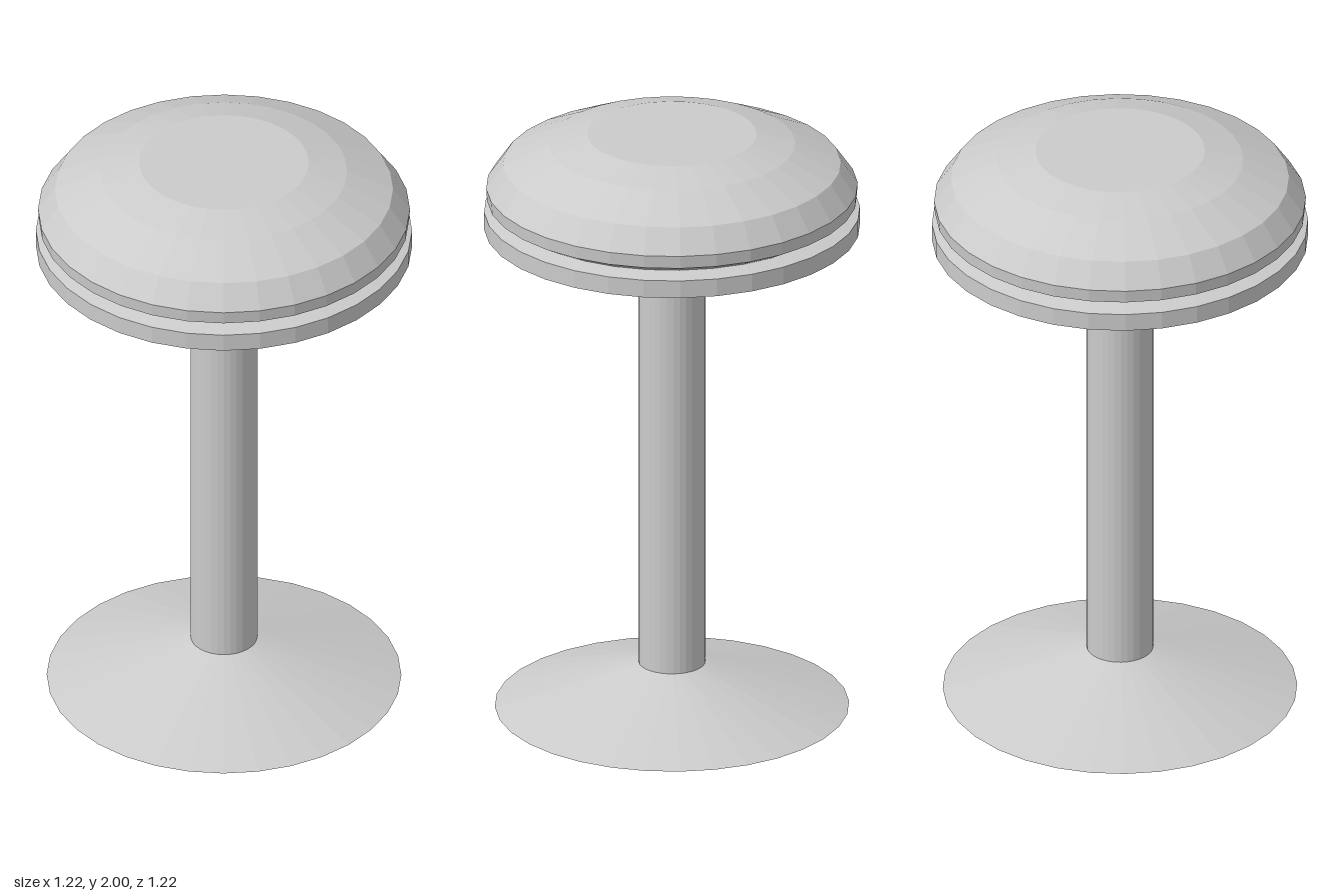
import * as THREE from 'three';

const SIDES = 32;

export function createModel() {
  const stool = new THREE.Group();
  stool.name = 'stool';
  const material = new THREE.MeshStandardMaterial({
    color: 0xcccccc, flatShading: true, side: THREE.DoubleSide,
  });

  // Turned part from [radius, height] pairs, listed bottom to top
  function turned(name, profile) {
    const points = profile.map(([r, y]) => new THREE.Vector2(r, y));
    const mesh = new THREE.Mesh(new THREE.LatheGeometry(points, SIDES), material);
    mesh.name = name;
    stool.add(mesh);
  }

  // Hollow conical foot, open underneath
  turned('base', [[0.575, 0], [0.108, 0.15]]);

  // Open tube
  turned('post', [[0.108, 0.15], [0.108, 1.675]]);

  // Flat rim under the cushion, sloping in to the groove
  turned('seatRim', [[0, 1.675], [0.61, 1.675], [0.61, 1.735], [0.55, 1.748]]);

  // Domed cushion with a flat top
  turned('cushion', [
    [0.55, 1.748], [0.6, 1.775], [0.603, 1.818], [0.548, 1.897],
    [0.4, 1.966], [0.275, 2], [0, 2],
  ]);

  return stool;
}
